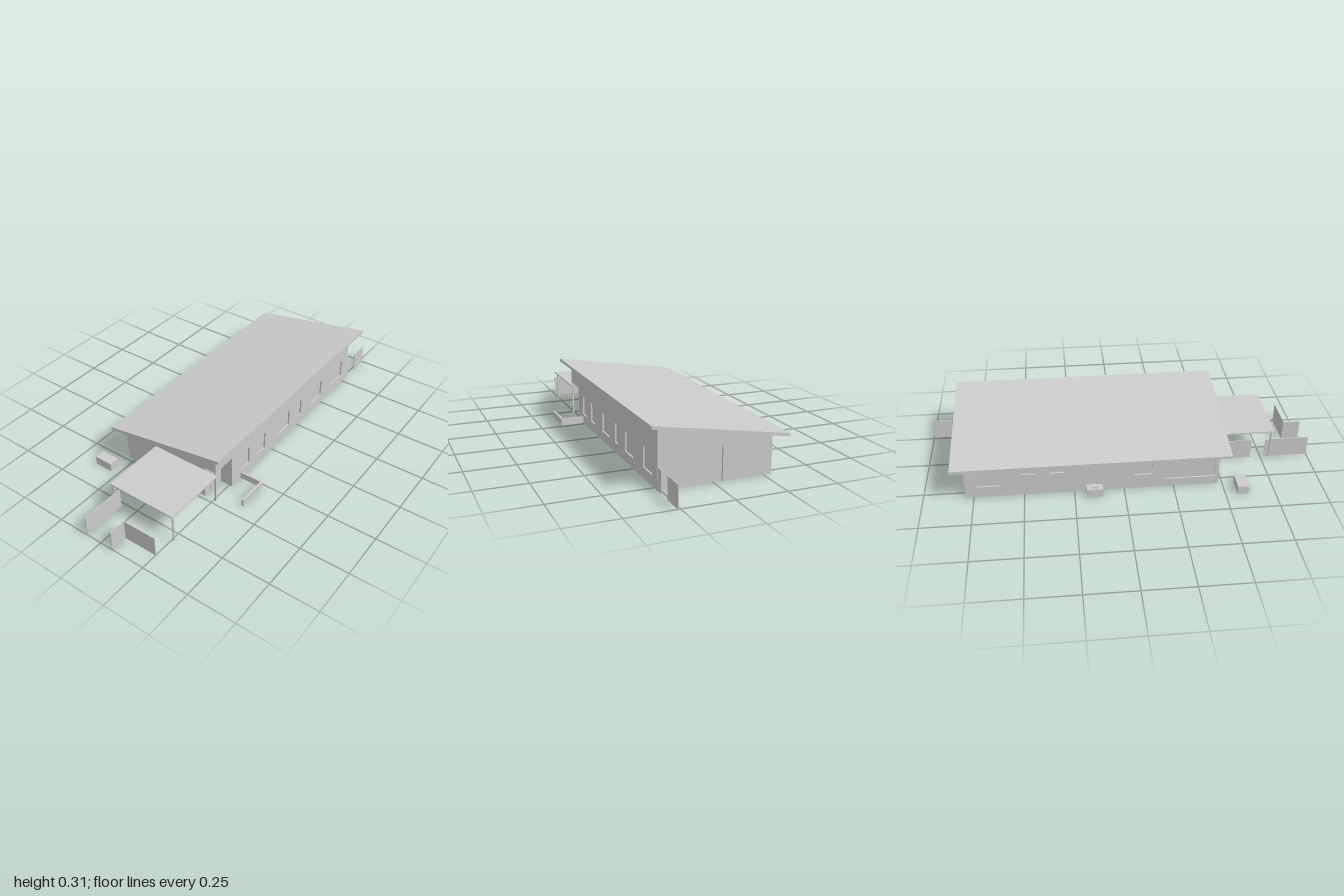
import * as THREE from 'three';

const T = 0.015;                                   // wall thickness
const under = z => 0.245 + 0.1647 * z;             // underside of the sloping roof

export function createModel() {
  const house = new THREE.Group();
  house.name = 'house';
  const mat = new THREE.MeshStandardMaterial({ color: 0xcccccc, flatShading: true });

  const add = (name, geo, parent = house) => {
    const mesh = new THREE.Mesh(geo, mat);
    mesh.name = name;
    parent.add(mesh);
    return mesh;
  };
  const group = name => {
    const g = new THREE.Group();
    g.name = name;
    house.add(g);
    return g;
  };
  // box given by its limits on each axis
  const box = (name, x0, x1, y0, y1, z0, z1, parent) =>
    add(name, new THREE.BoxGeometry(x1 - x0, y1 - y0, z1 - z0)
      .translate((x0 + x1) / 2, (y0 + y1) / 2, (z0 + z1) / 2), parent);
  const outline = pts => new THREE.Shape(pts.map(p => new THREE.Vector2(...p)));
  const rect = (a0, a1, b0, b1) =>
    new THREE.Path([[a0, b0], [a1, b0], [a1, b1], [a0, b1]].map(p => new THREE.Vector2(...p)));
  const extrude = (shape, depth) =>
    new THREE.ExtrudeGeometry(shape, { depth, bevelEnabled: false });
  // profile in (z, y) running along x from x0 to x1
  const alongX = (name, pts, x0, x1, parent, holes = []) => {
    const shape = outline(pts);
    shape.holes.push(...holes);
    return add(name, extrude(shape, x1 - x0).rotateY(-Math.PI / 2).translate(x1, 0, 0), parent);
  };
  // wall facing front or back with window openings and recessed panes
  const longWall = (name, pts, z0, windows, paneZ) => {
    const g = group(name);
    const shape = outline(pts);
    shape.holes.push(...windows.map(w => rect(...w)));
    add('wall', extrude(shape, T).translate(0, 0, z0), g);
    for (const w of windows) box('windowPane', ...w, paneZ - 0.002, paneZ + 0.002, g);
  };

  // roof slab
  const zf = 0.317, zb = -0.345, rt = 0.015;
  alongX('roof', [[zb, under(zb)], [zf, under(zf)], [zf, under(zf) + rt], [zb, under(zb) + rt]],
    -0.53, 0.847);

  // front wall, notched at the entry porch
  const top = under(0.265), backTop = under(-0.29);
  longWall('frontWall',
    [[-0.35, 0], [0.79, 0], [0.79, top], [-0.48, top], [-0.48, 0.18], [-0.35, 0.18]],
    0.265 - T,
    [[-0.27, -0.2], [-0.13, -0.06], [0.06, 0.17], [0.25, 0.29], [0.39, 0.5], [0.62, 0.73]]
      .map(([a, b]) => [a, b, 0.05, 0.15]), 0.255);

  // back wall
  longWall('backWall',
    [[-0.48, 0], [0.79, 0], [0.79, backTop], [-0.48, backTop]], -0.29,
    [[0.62, 0.73, 0.06, 0.16], [0.44, 0.51, 0.12, 0.16], [0.3, 0.37, 0.12, 0.16],
      [-0.14, -0.05, 0.08, 0.16], [-0.46, -0.205, 0.045, 0.16]], -0.28);

  // end walls: a hall door at +x, the open porch corner at -x
  const zi = 0.265 - T, zj = -0.29 + T;
  alongX('leftEndWall',
    [[zj, 0], [-0.045, 0], [-0.045, 0.165], [0.01, 0.165], [0.01, 0], [zi, 0], [zi, under(zi)], [zj, under(zj)]],
    0.79 - T, 0.79);
  box('transom', 0.776, 0.782, 0.145, 0.165, -0.045, 0.01);
  box('endDoor', 0.776, 0.78, 0, 0.145, -0.045, 0.01);
  alongX('rightEndWall',
    [[zj, 0], [0.2, 0], [0.2, 0.18], [zi, 0.18], [zi, under(zi)], [zj, under(zj)]],
    -0.48, -0.48 + T);

  // entry porch
  const porch = group('entryPorch');
  box('porchBackWall', -0.48 + T, -0.35, 0, under(0.19), 0.187, 0.2, porch);
  box('frontDoor', -0.44, -0.375, 0, 0.15, 0.2, 0.203, porch);
  box('porchSideWall', -0.35, -0.335, 0, under(0.19), 0.187, 0.25, porch);
  box('porchCeiling', -0.48 + T, -0.35, 0.18, 0.184, 0.2, 0.25, porch);
  box('porchPost', -0.48, -0.472, 0, 0.18, 0.257, 0.265, porch);

  // low wall in front of the entry
  const low = group('lowGardenWall');
  box('lowWallFront', -0.43, -0.265, 0, 0.036, 0.38, 0.39, low);
  box('lowWallSide', -0.275, -0.265, 0, 0.036, 0.265, 0.38, low);

  // carport
  const carport = group('carport');
  box('carportRoof', -0.81, -0.48, 0.16, 0.167, -0.1, 0.273, carport);
  for (const z of [-0.088, 0.26])
    add('carportPost', new THREE.CylinderGeometry(0.005, 0.005, 0.16, 8).translate(-0.795, 0.08, z), carport);

  // fence panels
  const fence = group('fence');
  const h = 0.107, f = 0.002;
  for (const [x0, x1, z] of [[-0.695, -0.48, -0.083], [-1, -0.77, -0.083], [-1, -0.91, 0.07],
    [0.79, 0.825, 0.262], [0.895, 1, 0.262]])
    box('fencePanel', x0, x1, 0, h, z - f, z + f, fence);
  box('fencePanel', -0.912, -0.908, 0, h, 0.07, 0.25, fence);

  // units behind the house
  box('storageBox', -0.615, -0.56, 0, 0.045, -0.39, -0.29);
  box('outdoorUnit', 0.11, 0.19, 0, 0.045, -0.345, -0.3);
  box('outdoorUnitCap', 0.135, 0.165, 0.045, 0.054, -0.335, -0.31);

  // partitions: a hall along the house and rooms on both sides
  const rooms = group('partitions');
  const p = 0.004;
  for (const [z, spans] of [
    [0.04, [[-0.2, -0.1], [-0.04, 0.13], [0.19, 0.33], [0.39, 0.56], [0.62, 0.775]]],
    [-0.055, [[0.06, 0.22], [0.28, 0.42], [0.48, 0.6], [0.66, 0.775]]]])
    for (const [x0, x1] of spans) box('hallWall', x0, x1, 0, under(z - p), z - p, z + p, rooms);
  const crossWall = (x, z0, z1) =>
    alongX('crossWall', [[z0, 0], [z1, 0], [z1, under(z1)], [z0, under(z0)]], x - p, x + p, rooms);
  for (const x of [-0.2, -0.02, 0.22, 0.34, 0.56]) crossWall(x, 0.04, 0.25);
  for (const x of [0.06, 0.28, 0.41, 0.54]) crossWall(x, -0.275, -0.055);

  // simple furniture
  const furniture = group('furniture');
  for (const [x, z, w, d] of [[0.66, -0.14, 0.14, 0.1], [0.34, -0.14, 0.07, 0.1], [0.06, 0.18, 0.1, 0.12],
    [-0.07, -0.08, 0.14, 0.09], [0.28, 0.18, 0.07, 0.1], [-0.38, -0.1, 0.09, 0.09],
    [0.46, 0.17, 0.1, 0.12], [0.67, 0.17, 0.1, 0.12]])
    box('furnitureBlock', x - w / 2, x + w / 2, 0.01, 0.045, z - d / 2, z + d / 2, furniture);

  return house;
}
